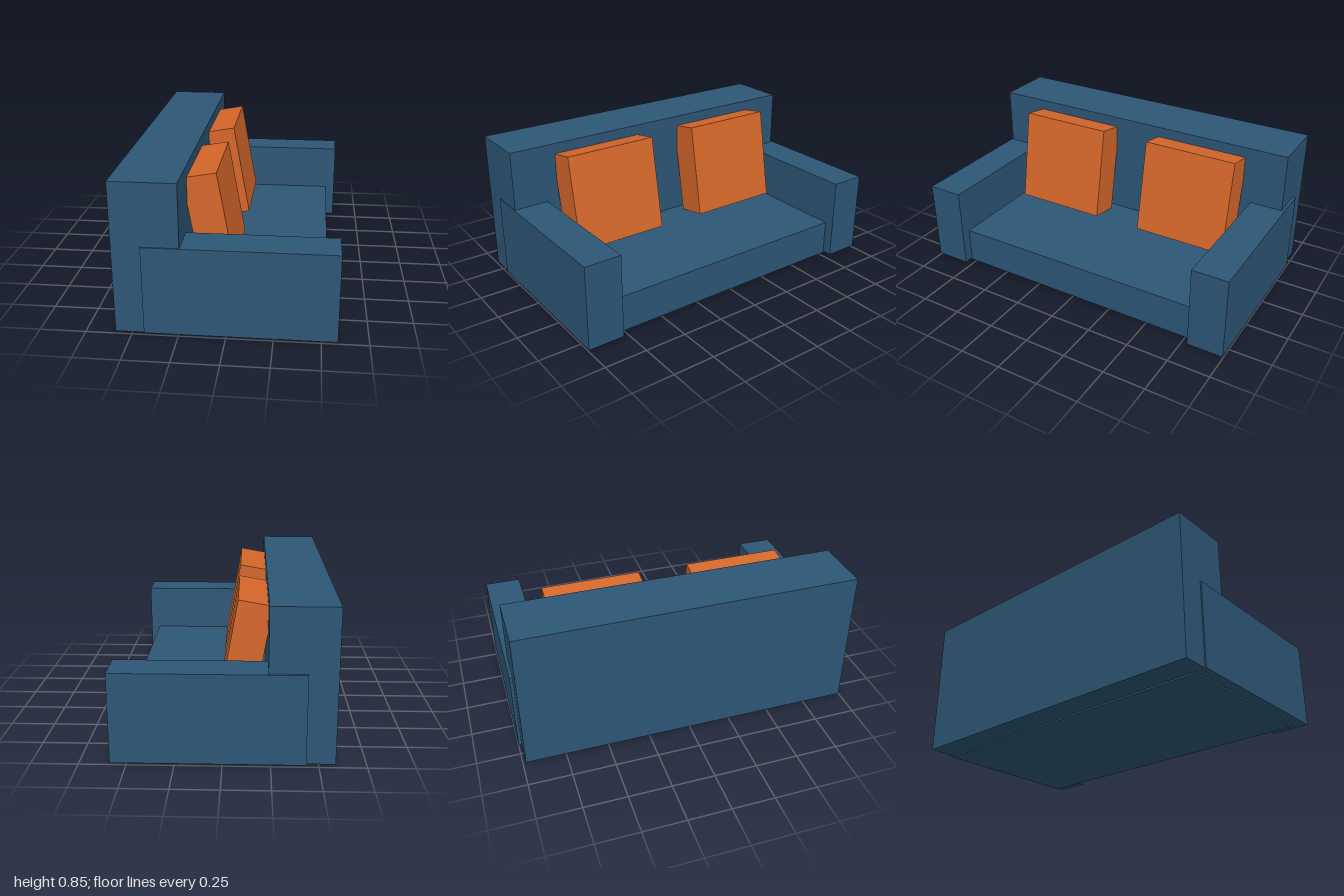
import * as THREE from 'three';

export function createModel() {
  const model = new THREE.Group();
  model.name = 'sofa';
  const blue = new THREE.MeshStandardMaterial({ color: 0x2d5675 });
  const orange = new THREE.MeshStandardMaterial({ color: 0xd5672a });

  // Box given by its extents along each axis
  function block(name, [x0, x1], [y0, y1], [z0, z1], material) {
    const mesh = new THREE.Mesh(new THREE.BoxGeometry(x1 - x0, y1 - y0, z1 - z0), material);
    mesh.position.set((x0 + x1) / 2, (y0 + y1) / 2, (z0 + z1) / 2);
    mesh.name = name;
    model.add(mesh);
    return mesh;
  }

  // Frame: the seat opens towards +x
  block('seat', [-0.432, 0.527], [0, 0.217], [-0.983, 0.936], blue);
  block('backrest', [-0.588, -0.233], [0.01, 0.853], [-0.983, 0.993], blue);
  block('armrestNear', [-0.434, 0.586], [0.01, 0.504], [0.785, 1], blue);
  block('armrestFar', [-0.434, 0.586], [0.01, 0.504], [-1, -0.787], blue);

  // Cushions leaning against the backrest
  for (const [name, z] of [['cushionNear', 0.43], ['cushionFar', -0.442]]) {
    const cushion = block(name, [-0.212, -0.024], [0.239, 0.806], [z - 0.287, z + 0.287], orange);
    cushion.rotation.z = THREE.MathUtils.degToRad(10);
  }

  return model;
}
